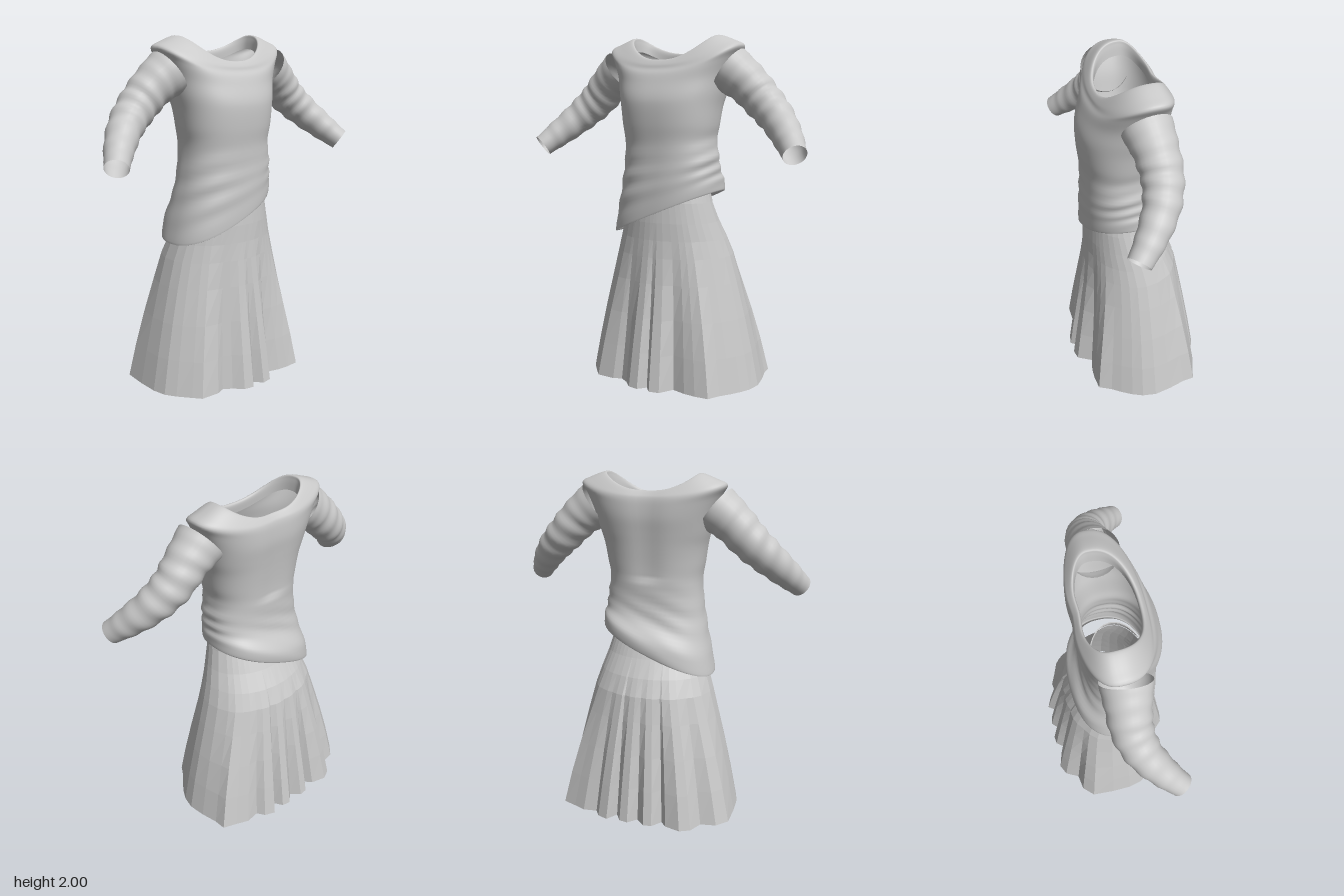
import * as THREE from 'three';

const cloth = new THREE.MeshStandardMaterial({ color: 0xc8c8c8, side: THREE.DoubleSide });
cloth.name = 'grey cloth';

// Skin a list of closed rings (arrays of Vector3) into one open surface
function loft(name, rings, flat = false) {
  const n = rings[0].length, index = [];
  for (let i = 0; i < rings.length - 1; i++) {
    for (let j = 0; j < n; j++) {
      const a = i * n + j, b = i * n + (j + 1) % n;
      index.push(a, a + n, b, b, a + n, b + n);
    }
  }
  let geo = new THREE.BufferGeometry().setFromPoints(rings.flat());
  geo.setIndex(index);
  if (flat) geo = geo.toNonIndexed();
  geo.computeVertexNormals();
  const mesh = new THREE.Mesh(geo, cloth);
  mesh.name = name;
  return mesh;
}

// Smooth interpolation through rows of numbers
function smoothRows(rows, steps) {
  const out = [], at = i => rows[Math.max(0, Math.min(rows.length - 1, i))];
  const cr = (a, b, c, d, t) => b + 0.5 * t * (c - a + t * (2 * a - 5 * b + 4 * c - d + t * (3 * (b - c) + d - a)));
  for (let i = 0; i < rows.length - 1; i++) {
    for (let s = 0; s < steps; s++) {
      out.push(rows[i].map((v, k) => cr(at(i - 1)[k], v, at(i + 1)[k], at(i + 2)[k], s / steps)));
    }
  }
  out.push(rows[rows.length - 1]);
  return out;
}

// Top: side y, front y, back y, half width, front z, back z, centre z, slant, centre x
function makeBodice() {
  const rows = [
    [1.03, 1.03, 1.03, 0.31, 0.265, -0.205, 0.02, 0.42, -0.03],
    [1.00, 1.00, 1.00, 0.33, 0.275, -0.225, 0.02, 0.42, -0.03],
    [1.08, 1.08, 1.08, 0.32, 0.275, -0.225, 0.03, 0.36, -0.02],
    [1.17, 1.17, 1.17, 0.30, 0.275, -0.17, 0.04, 0.25, -0.01],
    [1.27, 1.27, 1.27, 0.285, 0.27, -0.15, 0.05, 0.15, 0],
    [1.40, 1.40, 1.40, 0.27, 0.27, -0.15, 0.05, 0.05, 0],
    [1.50, 1.50, 1.50, 0.285, 0.28, -0.155, 0.05, 0, 0],
    [1.60, 1.60, 1.60, 0.30, 0.283, -0.165, 0.04, 0, 0],
    [1.68, 1.66, 1.68, 0.32, 0.275, -0.175, 0.02, 0, 0],
    [1.78, 1.73, 1.76, 0.345, 0.25, -0.185, 0, 0, 0],
    [1.88, 1.78, 1.83, 0.385, 0.23, -0.185, -0.01, 0, 0],
    [1.94, 1.81, 1.87, 0.415, 0.21, -0.18, -0.02, 0, 0],
    [1.97, 1.835, 1.89, 0.36, 0.20, -0.17, -0.03, 0, 0],
    [2.00, 1.86, 1.91, 0.275, 0.18, -0.15, -0.03, 0, 0],
    [1.98, 1.85, 1.89, 0.26, 0.165, -0.14, -0.03, 0, 0],
    [1.92, 1.80, 1.85, 0.25, 0.17, -0.14, -0.03, 0, 0],
  ];
  const n = 72;
  const rings = smoothRows(rows, 5).map(([ys, yf, yb, w, zf, zb, zc, slant, cx]) =>
    Array.from({ length: n }, (_, j) => {
      const a = j / n * Math.PI * 2, c = Math.cos(a), s = Math.sin(a);
      const px = Math.sign(c) * Math.abs(c) ** 0.85, pz = Math.sign(s) * Math.abs(s) ** 0.85;
      // Soft slanting folds gathered round the waist
      const k = Math.exp(-(((ys - 1.22) / 0.14) ** 2));
      const fold = 1 + 0.022 * k * Math.sin(ys * 62 - 2.5 * c + 1.6 * Math.sin(2 * a)) * (0.6 + 0.4 * Math.sin(3 * a + 1));
      const x = cx + px * w * fold;
      const end = s > 0 ? yf : yb;
      // The back dips inwards along the spine above the waist
      const spine = s < 0 && ys > 1.4 ? 0.015 * Math.exp(-((x / 0.08) ** 2)) : 0;
      return new THREE.Vector3(x, end + (ys - end) * c * c + slant * x,
        zc + pz * (s > 0 ? zf - zc : zc - zb) * fold + spine);
    }));
  return loft('top', rings);
}

// Bent sleeve with soft creases, open at the cuff; side is 1 for left, -1 for right
function makeSleeve(side) {
  const path = new THREE.CatmullRomCurve3([
    [0.35, 1.81, 0.02], [0.45, 1.735, 0.01], [0.55, 1.635, 0.01],
    [0.65, 1.54, 0.05], [0.75, 1.435, 0.14], [0.815, 1.36, 0.22],
  ].map(p => new THREE.Vector3(...p)));
  const radii = smoothRows([[0.135], [0.118], [0.108], [0.096], [0.08], [0.065]], 9).flat();
  const m = radii.length - 1, n = 28;
  const frames = path.computeFrenetFrames(m);
  const rings = radii.map((r, i) => {
    const centre = path.getPoint(i / m);
    return Array.from({ length: n }, (_, j) => {
      const a = j / n * Math.PI * 2;
      const fade = Math.sin(Math.PI * i / m);
      const rr = r * (1 + 0.045 * fade * Math.sin(i * 1.05 + 1.3 * Math.sin(a)));
      const p = centre.clone()
        .addScaledVector(frames.normals[i], rr * Math.cos(a))
        .addScaledVector(frames.binormals[i], -side * rr * Math.sin(a));
      p.x *= side;
      return p;
    });
  });
  return loft(side > 0 ? 'leftSleeve' : 'rightSleeve', rings);
}

// Pleated hem outline as x, z pairs, running from the left side round the front
const hem = [
  [0.545, 0], [0.53, 0.08], [0.5, 0.14], [0.46, 0.2], [0.42, 0.25], [0.38, 0.32], [0.3, 0.325],
  [0.23, 0.32], [0.15, 0.3], [0.1, 0.38], [0.04, 0.39], [0, 0.345], [-0.04, 0.39], [-0.1, 0.38],
  [-0.15, 0.33], [-0.2, 0.3], [-0.25, 0.32], [-0.36, 0.315], [-0.4, 0.27], [-0.46, 0.2],
  [-0.5, 0.14], [-0.52, 0.06], [-0.525, -0.06], [-0.52, -0.2], [-0.46, -0.265], [-0.37, -0.28],
  [-0.33, -0.36], [-0.27, -0.39], [-0.18, -0.365], [-0.145, -0.325], [-0.1, -0.385], [-0.05, -0.39],
  [0, -0.34], [0.05, -0.39], [0.1, -0.38], [0.135, -0.325], [0.18, -0.39], [0.24, -0.365],
  [0.27, -0.32], [0.35, -0.33], [0.42, -0.3], [0.5, -0.27], [0.505, -0.2], [0.53, -0.1],
];

// Skirt rows: y, half width, front z, back z, pleat strength
function skirtRings(rows) {
  return rows.map(([y, w, zf, zb, pleat]) => hem.map(([x, z]) => {
    const u = new THREE.Vector2(x / 0.535, z / 0.39);
    u.lerp(u.clone().normalize(), 1 - pleat);
    return new THREE.Vector3(u.x * w, y, (zf + zb) / 2 + u.y * (zf - zb) / 2);
  }));
}

export function createModel() {
  const model = new THREE.Group();
  model.name = 'outfit';
  model.add(makeBodice(), makeSleeve(1), makeSleeve(-1));

  model.add(loft('skirt', skirtRings([
    [0, 0.535, 0.39, -0.39, 1],
    [0.2, 0.495, 0.36, -0.36, 0.9],
    [0.4, 0.45, 0.328, -0.328, 0.7],
    [0.6, 0.4, 0.298, -0.295, 0.4],
    [0.75, 0.36, 0.28, -0.268, 0.18],
    [0.85, 0.328, 0.27, -0.225, 0.06],
    [0.95, 0.295, 0.265, -0.165, 0],
    [1.07, 0.262, 0.255, -0.105, 0],
  ]), true));
  model.add(loft('waistband', skirtRings([
    [1.065, 0.267, 0.26, -0.11, 0],
    [1.15, 0.247, 0.245, -0.09, 0],
    [1.15, 0.24, 0.238, -0.083, 0],
  ]), true));

  // Small fastening at the back of the waistband
  const clasp = new THREE.Mesh(new THREE.BoxGeometry(0.035, 0.04, 0.012), cloth);
  clasp.name = 'waistClasp';
  clasp.position.set(-0.01, 1.105, -0.106);
  model.add(clasp);
  return model;
}
